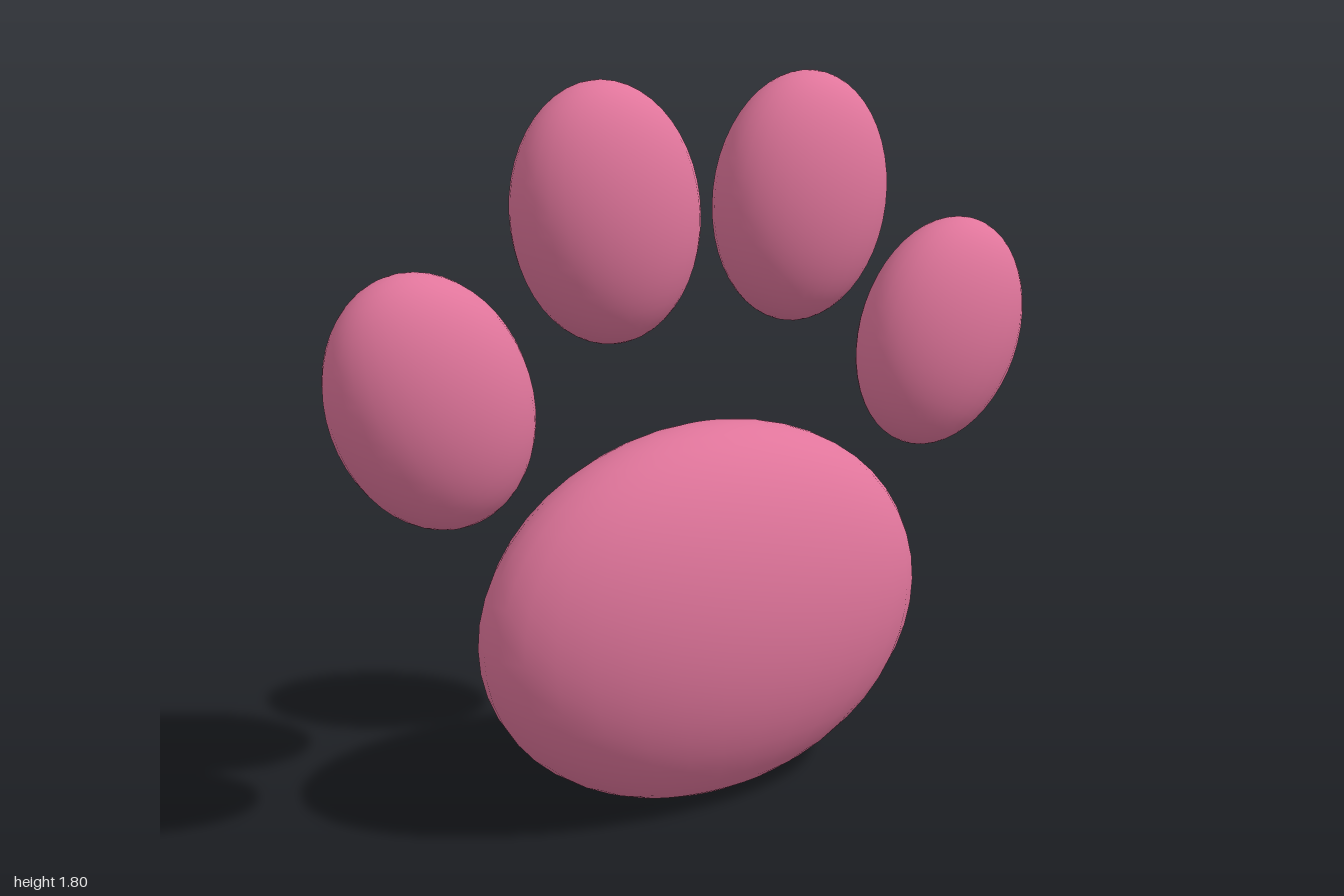
import * as THREE from 'three';

export function createModel() {
  const group = new THREE.Group();
  const pink = new THREE.MeshStandardMaterial({ color: 0xe0759b });
  pink.name = 'pink';
  const sphere = new THREE.SphereGeometry(1, 32, 24);

  // A smooth ellipsoid pad, tilted in the front plane
  function addPad(name, x, y, radii, tilt = 0) {
    const pad = new THREE.Mesh(sphere, pink);
    pad.name = name;
    pad.position.set(x, y, 0);
    pad.scale.set(...radii);
    pad.rotation.z = tilt;
    group.add(pad);
  }

  // Large palm pad
  addPad('palmPad', 0, 0.483, [0.63, 0.48, 0.277]);

  // Two mirrored pairs of toe pads, fanned outwards
  const toe = [0.24, 0.308, 0.16];
  for (const [side, s] of [['left', 1], ['right', -1]]) {
    addPad(side + 'InnerToe', s * 0.28, 1.498, toe, -s * 0.13);
    addPad(side + 'OuterToe', s * 0.744, 1.11, toe, -s * 0.4);
  }
  return group;
}
